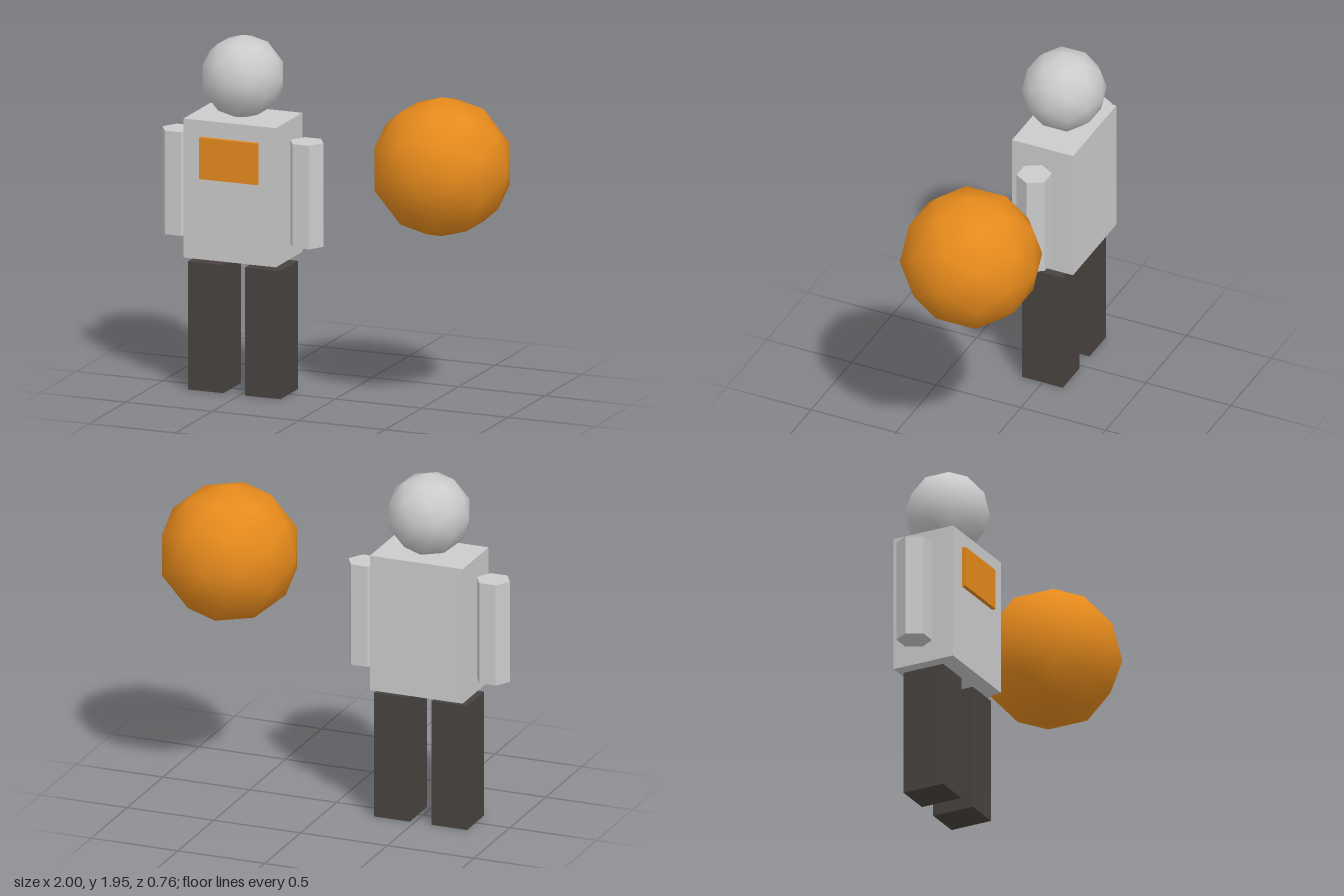
import * as THREE from 'three';

export function createModel() {
  const model = new THREE.Group();
  const material = (color, flatShading = false) =>
    new THREE.MeshStandardMaterial({ color, flatShading });
  const grey = material(0xcccccc);
  const greyFaceted = material(0xcccccc, true);
  const orange = material(0xe68a1c);
  const dark = material(0x48433f);

  const add = (name, geometry, mat, x, y, z = 0) => {
    const mesh = new THREE.Mesh(geometry, mat);
    mesh.name = name;
    mesh.position.set(x, y, z);
    model.add(mesh);
    return mesh;
  };
  const ball = (radius) => new THREE.IcosahedronGeometry(radius, 1).rotateY(Math.PI / 2);

  // Figure, standing to one side of the ball
  const cx = -0.535;
  add('head', ball(0.228), grey, cx, 1.722);
  add('torso', new THREE.BoxGeometry(0.535, 0.765, 0.36), grey, cx, 1.1225);
  add('chestPatch', new THREE.BoxGeometry(0.335, 0.228, 0.03), orange, cx, 1.301, 0.187);

  // Paired limbs: hexagonal arms with a corner pointing outwards, box legs
  for (const [side, s] of [['left', 1], ['right', -1]]) {
    const arm = new THREE.CylinderGeometry(0.095, 0.095, 0.57, 6).rotateY(Math.PI / 2);
    add(side + 'Arm', arm, greyFaceted, cx + s * 0.37, 1.115);
    add(side + 'Leg', new THREE.BoxGeometry(0.205, 0.705, 0.24), dark, cx + s * 0.165, 0.3525);
  }

  // Floating ball
  add('ball', ball(0.382), orange, 0.617, 1.34);

  return model;
}
